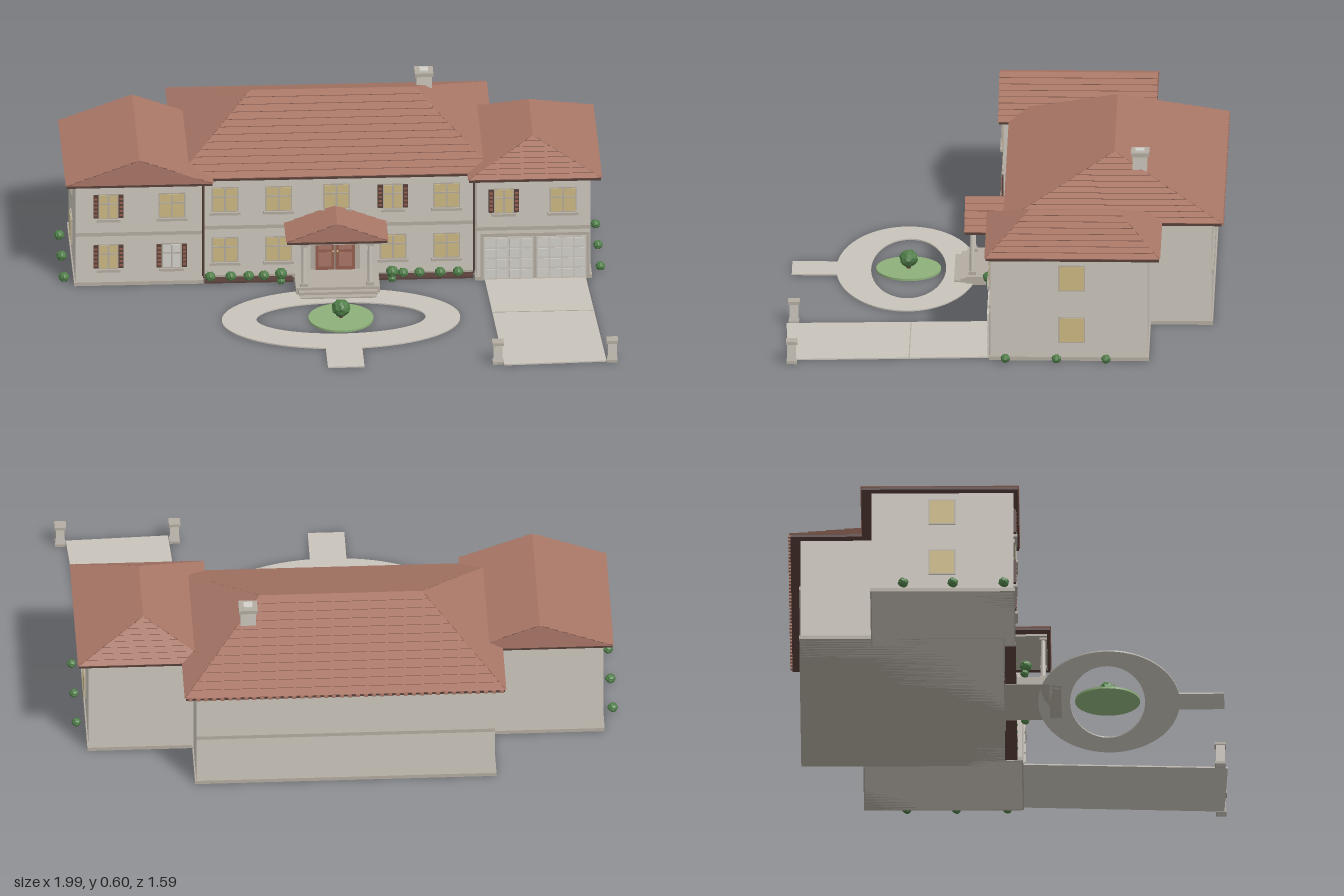
import * as THREE from 'three';

const mat = (name, color) => {
  const m = new THREE.MeshStandardMaterial({ color });
  m.name = name;
  return m;
};

export function createModel() {
  const M = {
    wall: mat('stucco', 0xcbc5bb), roof: mat('clay tile', 0xa87666),
    trim: mat('stone trim', 0xb3aca1), dark: mat('dark brown', 0x58403a),
    glass: mat('warm window', 0xcdb882), door: mat('red brown wood', 0x94604f),
    paving: mat('paving', 0xc8c3ba), grass: mat('lawn', 0x8db07a),
    bush: mat('foliage', 0x4f7d48), pale: mat('pale panel', 0xd2d0ca),
  };
  const root = new THREE.Group();
  root.name = 'house';

  const add = (parent, name, geo, m, x = 0, y = 0, z = 0) => {
    const mesh = new THREE.Mesh(geo, m);
    mesh.name = name;
    mesh.position.set(x, y, z);
    parent.add(mesh);
    return mesh;
  };
  const group = (name, x = 0, y = 0, z = 0, ry = 0) => {
    const g = new THREE.Group();
    g.name = name;
    g.position.set(x, y, z);
    g.rotation.y = ry;
    root.add(g);
    return g;
  };
  // Box given by its limits on each axis
  const block = (name, m, x0, x1, y0, y1, z0, z1, parent = root) =>
    add(parent, name, new THREE.BoxGeometry(x1 - x0, y1 - y0, z1 - z0), m,
      (x0 + x1) / 2, (y0 + y1) / 2, (z0 + z1) / 2);

  // Roof with its ridge along local x, laid in overlapping tile courses
  function roofGeometry(w, d, h, ridge, courses) {
    const V = (x, y, z) => new THREE.Vector3(x, y, z), pos = [];
    const quad = (a, b, c, e) => [a, b, c, a, c, e].forEach(p => pos.push(p.x, p.y, p.z));
    const r = ridge / 2, x = w / 2, z = d / 2;
    const A = V(-x, 0, z), B = V(x, 0, z), C = V(x, 0, -z), D = V(-x, 0, -z);
    const L = V(-r, h, 0), R = V(r, h, 0);
    for (const [p0, p1, q1, q0] of [[A, B, R, L], [B, C, R, R], [C, D, L, R], [D, A, L, L]]) {
      const n = p1.clone().sub(p0).cross(q0.clone().sub(p0)).normalize();
      const lift = n.multiplyScalar(n.y < 0.01 ? 0 : 0.003);
      for (let i = 0; i < courses; i++) {
        const a = p0.clone().lerp(q0, i / courses), b = p1.clone().lerp(q1, i / courses);
        const c = p1.clone().lerp(q1, (i + 1) / courses), e = p0.clone().lerp(q0, (i + 1) / courses);
        const au = a.clone().add(lift), bu = b.clone().add(lift);
        quad(a, b, bu, au);
        quad(au, bu, c, e);
      }
    }
    quad(D, C, B, A);
    const g = new THREE.BufferGeometry();
    g.setAttribute('position', new THREE.Float32BufferAttribute(pos, 3));
    g.computeVertexNormals();
    return g;
  }
  function roof(name, x, y, z, w, d, h, ridge, courses, ry = 0) {
    const g = group(name, x, y, z, ry);
    add(g, 'roofTiles', roofGeometry(w, d, h, ridge, courses), M.roof);
    add(g, 'fascia', new THREE.BoxGeometry(w - 0.006, 0.01, d - 0.006), M.dark, 0, -0.005, 0);
    return g;
  }

  // Walls, plinths and storey bands
  const wings = [
    ['mainWalls', -0.535, 0.55, -0.755, -0.02],
    ['rightHandWingWalls', 0.515, 0.93, -0.53, 0.04],
    ['leftHandWingWalls', -0.94, -0.48, -0.495, 0.02],
  ];
  wings.forEach(([name, x0, x1, z0, z1], i) => {
    block(name, M.wall, x0, x1, 0, 0.4, z0, z1);
    block('plinth', M.trim, x0 - 0.005, x1 + 0.005, 0, 0.014, z0 - 0.005, z1 + 0.005);
    block('frontBand', M.trim, x0, x1, 0.198, 0.212, z1, z1 + 0.006);
    if (i === 0) block('backBand', M.trim, x0, x1, 0.198, 0.212, z0 - 0.006, z0);
  });
  const Q = Math.PI / 2;
  roof('mainRoof', 0.01, 0.405, -0.3975, 1.165, 0.795, 0.17, 0.59, 12);
  roof('garageWingRoof', 0.7275, 0.405, -0.2575, 0.635, 0.485, 0.102, 0.315, 8, Q);
  roof('gabledWingRoof', -0.7075, 0.405, -0.2475, 0.575, 0.535, 0.097, 0.575, 8, Q);

  // Tile ends along the main back eave
  for (let i = 0; i < 40; i++)
    block('tileEnd', M.roof, -0.565 + i * 0.029, -0.55 + i * 0.029, 0.397, 0.407, -0.8, -0.79);

  // Downpipes
  for (const x of [-0.474, 0.509])
    add(root, 'downpipe', new THREE.CylinderGeometry(0.004, 0.004, 0.39, 8), M.dark, x, 0.2, -0.013);

  // Chimney
  block('chimney', M.wall, 0.322, 0.378, 0.4, 0.585, -0.517, -0.465);
  block('chimneyCap', M.trim, 0.316, 0.384, 0.583, 0.597, -0.525, -0.459);
  block('chimneyFlue', M.pale, 0.334, 0.366, 0.597, 0.603, -0.507, -0.475);

  // Windows: frame, panes, sill, optional shutters
  function windowUnit(x, y, z, ry = 0, shutters = false, pane = M.glass, plain = false) {
    const g = group('window', x, y, z, ry);
    const w = shutters ? 0.064 : 0.088, h = 0.09;
    block('frame', M.trim, -w / 2 - 0.005, w / 2 + 0.005, -h / 2 - 0.005, h / 2 + 0.005, 0, 0.005, g);
    block('glass', pane, -w / 2, w / 2, -h / 2, h / 2, 0.005, 0.007, g);
    if (plain) return;
    block('mullion', M.trim, -0.003, 0.003, -h / 2, h / 2, 0.006, 0.01, g);
    block('transom', M.trim, -w / 2, w / 2, 0.01, 0.015, 0.006, 0.01, g);
    block('sill', M.trim, -w / 2 - 0.012, w / 2 + 0.012, -h / 2 - 0.014, -h / 2 - 0.004, 0, 0.014, g);
    if (shutters) for (const s of [-1, 1]) {
      add(g, 'shutter', new THREE.BoxGeometry(0.018, h, 0.008), M.dark, s * (w / 2 + 0.014), 0, 0.004);
      for (let i = 0; i < 5; i++)
        add(g, 'slat', new THREE.BoxGeometry(0.012, 0.008, 0.003), M.door,
          s * (w / 2 + 0.014), -0.032 + i * 0.016, 0.009);
    }
  }
  for (const x of [-0.395, -0.2, 0.215, 0.41]) {
    windowUnit(x, 0.315, -0.02, 0, x === 0.215);
    windowUnit(x, 0.115, -0.02);
  }
  windowUnit(0.01, 0.32, -0.02);
  windowUnit(-0.82, 0.315, 0.02, 0, true);
  windowUnit(-0.59, 0.315, 0.02);
  windowUnit(-0.82, 0.115, 0.02, 0, true);
  windowUnit(-0.59, 0.115, 0.02, 0, true, M.pale);
  windowUnit(0.615, 0.315, 0.04, 0, true);
  windowUnit(0.83, 0.315, 0.04);
  for (const y of [0.318, 0.118]) {
    windowUnit(0.93, y, -0.255, Q, false, M.glass, true);
    windowUnit(-0.94, y, -0.24, -Q, false, M.glass, true);
  }

  // Garage doors with raised panels
  block('garageSurround', M.trim, 0.53, 0.925, 0, 0.185, 0.04, 0.046);
  for (const x0 of [0.54, 0.733]) {
    block('garageDoor', M.wall, x0, x0 + 0.182, 0.005, 0.172, 0.046, 0.05);
    for (let r = 0; r < 4; r++) for (let c = 0; c < 4; c++)
      block('garagePanel', M.pale, x0 + 0.006 + c * 0.044, x0 + 0.044 + c * 0.044,
        0.011 + r * 0.041, 0.044 + r * 0.041, 0.05, 0.053);
  }

  // Porch: floor, steps, columns, gabled roof
  block('porchFloor', M.trim, -0.145, 0.16, 0, 0.03, -0.02, 0.145);
  block('upperStep', M.trim, -0.135, 0.15, 0, 0.02, 0.145, 0.165);
  block('lowerStep', M.trim, -0.13, 0.145, 0, 0.01, 0.165, 0.188);
  for (const x of [-0.115, 0.125]) {
    add(root, 'porchColumn', new THREE.CylinderGeometry(0.008, 0.01, 0.17, 14), M.wall, x, 0.115, 0.122);
    block('columnBase', M.trim, x - 0.014, x + 0.014, 0.03, 0.042, 0.108, 0.136);
    block('columnCapital', M.trim, x - 0.013, x + 0.013, 0.187, 0.2, 0.109, 0.135);
    block('wallLantern', M.dark, x - 0.008, x + 0.008, 0.13, 0.162, -0.02, -0.006);
    block('lanternGlass', M.glass, x - 0.005, x + 0.005, 0.136, 0.155, -0.006, -0.004);
  }
  block('porchBeam', M.trim, -0.14, 0.15, 0.195, 0.206, -0.02, 0.136);
  roof('porchRoof', 0.005, 0.213, 0.065, 0.17, 0.37, 0.07, 0.17, 5, Q);

  // Double front door
  block('doorFrame', M.trim, -0.085, 0.095, 0.03, 0.193, -0.02, -0.014);
  for (const s of [-1, 1]) {
    const x = 0.005 + s * 0.037;
    block('doorLeaf', M.door, x - 0.035, x + 0.035, 0.03, 0.183, -0.014, -0.008);
    for (const y of [0.045, 0.112])
      block('doorPanel', M.roof, x - 0.023, x + 0.023, y, y + 0.055, -0.008, -0.005);
    add(root, 'doorKnob', new THREE.SphereGeometry(0.004, 8, 6), M.glass, 0.005 + s * 0.008, 0.105, -0.004);
  }

  // Flat paving laid from a plan shape
  const slab = (name, shape, m, h) => {
    const geo = new THREE.ExtrudeGeometry(shape, { depth: h, bevelEnabled: false, curveSegments: 40 });
    geo.rotateX(-Q);
    return add(root, name, geo, m);
  };
  const loop = new THREE.Shape().absellipse(0.008, -0.36, 0.433, 0.257, 0, Math.PI * 2);
  loop.holes.push(new THREE.Path().absellipse(0.008, -0.355, 0.307, 0.136, 0, Math.PI * 2, true));
  slab('loopDrive', loop, M.paving, 0.005);
  block('loopStem', M.paving, -0.06, 0.073, 0, 0.005, 0.607, 0.778);
  slab('garageDrive', new THREE.Shape([[0.545, -0.04], [0.58, -0.787], [0.952, -0.772], [0.912, -0.04]]
    .map(p => new THREE.Vector2(...p))), M.paving, 0.005);
  block('driveJoint', M.trim, 0.562, 0.925, 0.004, 0.006, 0.333, 0.337);
  add(root, 'roundLawn', new THREE.CylinderGeometry(0.118, 0.118, 0.008, 40), M.grass, 0.008, 0.004, 0.355);

  // Gate posts
  for (const x of [0.558, 0.973]) {
    block('gatePost', M.wall, x - 0.016, x + 0.016, 0, 0.075, 0.744, 0.776);
    block('gatePostCap', M.trim, x - 0.021, x + 0.021, 0.075, 0.086, 0.739, 0.781);
    block('gatePostFoot', M.trim, x - 0.019, x + 0.019, 0, 0.01, 0.741, 0.779);
  }

  // Planting beds and bushes
  block('plantingBed', M.dark, -0.47, -0.15, 0, 0.007, -0.02, 0.025);
  block('plantingBed', M.dark, 0.165, 0.505, 0, 0.007, -0.02, 0.025);
  const bushGeo = new THREE.IcosahedronGeometry(1, 2);
  const p = bushGeo.attributes.position, v = new THREE.Vector3();
  for (let i = 0; i < p.count; i++) {
    v.fromBufferAttribute(p, i);
    v.multiplyScalar(0.93 + 0.1 * Math.sin(v.x * 7 + 1) * Math.cos(v.y * 6 + v.z * 5));
    p.setXYZ(i, v.x, v.y, v.z);
  }
  bushGeo.computeVertexNormals();
  const bush = (x, y, z, r) => add(root, 'bush', bushGeo, M.bush, x, y, z).scale.set(r, r * 0.95, r);
  for (const x of [-0.45, -0.375, -0.31, -0.255, 0.25, 0.31, 0.385, 0.45]) bush(x, 0.02, 0.008, 0.02);
  for (const x of [-0.195, 0.208]) {
    bush(x, 0.05, 0.06, 0.023);
    bush(x, 0.02, 0.055, 0.016);
  }
  for (const z of [-0.38, -0.2, -0.015]) {
    bush(-0.98, 0.02, z, 0.02);
    bush(0.968, 0.02, z, 0.018);
  }
  bush(0.008, 0.045, 0.355, 0.035);
  add(root, 'bushTrunk', new THREE.CylinderGeometry(0.007, 0.009, 0.03, 8), M.dark, 0.008, 0.018, 0.355);

  return root;
}
